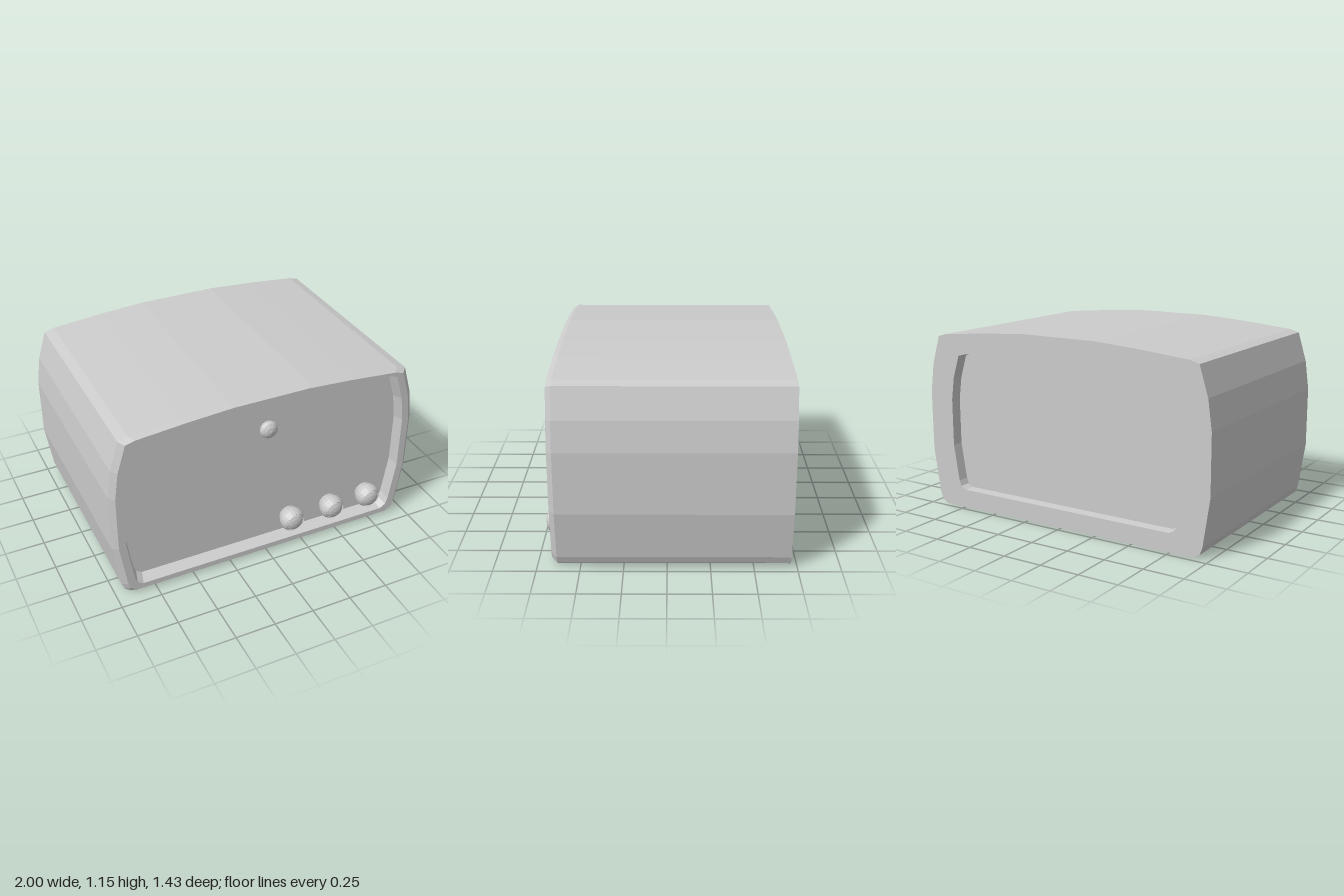
import * as THREE from 'three';

const HEIGHT = 1.155;

// Half of the cabinet outline, bottom to top, on the +x side
const half = [
  [0.9, 0], [0.94, 0.025], [0.957, 0.07], [1, 0.36], [1, 0.73],
  [0.975, 0.91], [0.92, 1.09], [0.86, 1.107], [0.54, 1.136], [0.25, HEIGHT],
];
const outline = [...half, ...half.map(([x, y]) => [-x, y]).reverse()];

// Outline scaled to a width and fitted between two heights at depth z
const ring = (s, y0, y1, z) =>
  outline.map(([x, y]) => [x * s, y0 + (y / HEIGHT) * (y1 - y0), z]);

// Skin consecutive rings, ordered so that the walls face outwards
function loft(rings) {
  const pos = [];
  for (let r = 0; r < rings.length - 1; r++) {
    const n = rings[r].length;
    for (let i = 0; i < n; i++) {
      const j = (i + 1) % n;
      const a = rings[r][i], b = rings[r][j], c = rings[r + 1][j], d = rings[r + 1][i];
      pos.push(...a, ...b, ...c, ...a, ...c, ...d);
    }
  }
  const g = new THREE.BufferGeometry();
  g.setAttribute('position', new THREE.Float32BufferAttribute(pos, 3));
  g.computeVertexNormals();
  return g;
}

export function createModel() {
  const group = new THREE.Group();
  const flat = new THREE.MeshStandardMaterial({ color: 0xcccccc, flatShading: true });

  const add = (name, geometry, x = 0, y = 0, z = 0) => {
    const mesh = new THREE.Mesh(geometry, flat);
    mesh.name = name;
    mesh.position.set(x, y, z);
    group.add(mesh);
  };

  // Cabinet shell with bevelled front rim and recessed front and back
  add('cabinet', loft([
    ring(0.82, 0.12, 1.025, -0.655),
    ring(0.83, 0.115, 1.03, -0.715),
    ring(1, 0, HEIGHT, -0.715),
    ring(1, 0, HEIGHT, 0.635),
    ring(0.967, 0.02, 1.138, 0.667),
    ring(0.922, 0.055, 1.118, 0.667),
    ring(0.905, 0.082, 1.095, 0.6),
  ]));

  // Flat panels closing the recesses
  add('backPanel', loft([ring(0, 0.57, 0.57, -0.655), ring(0.82, 0.12, 1.025, -0.655)]));
  add('frontPanel', loft([ring(0.905, 0.082, 1.095, 0.6), ring(0, 0.57, 0.57, 0.6)]));

  // Turned parts: profile of [radius, height], axis towards the front
  const turned = (profile) =>
    new THREE.LatheGeometry(profile.map(([r, h]) => new THREE.Vector2(r, h)), 20)
      .rotateX(Math.PI / 2);

  // Control knobs along the lower edge
  const knob = turned([
    [0.06, 0], [0.076, 0.04], [0.078, 0.068], [0.062, 0.1],
    [0.056, 0.094], [0.052, 0.1], [0.03, 0.11], [0, 0.115],
  ]);
  [[0.175, 0.19], [0.46, 0.19], [0.725, 0.195]].forEach(([x, y], i) =>
    add(`knob${i + 1}`, knob, x, y, 0.6));

  // Domed button near the top of the front panel
  add('button', turned([
    [0.05, 0], [0.057, 0.02], [0.05, 0.036], [0.03, 0.05], [0, 0.057],
  ]), 0.01, 0.89, 0.6);

  return group;
}
